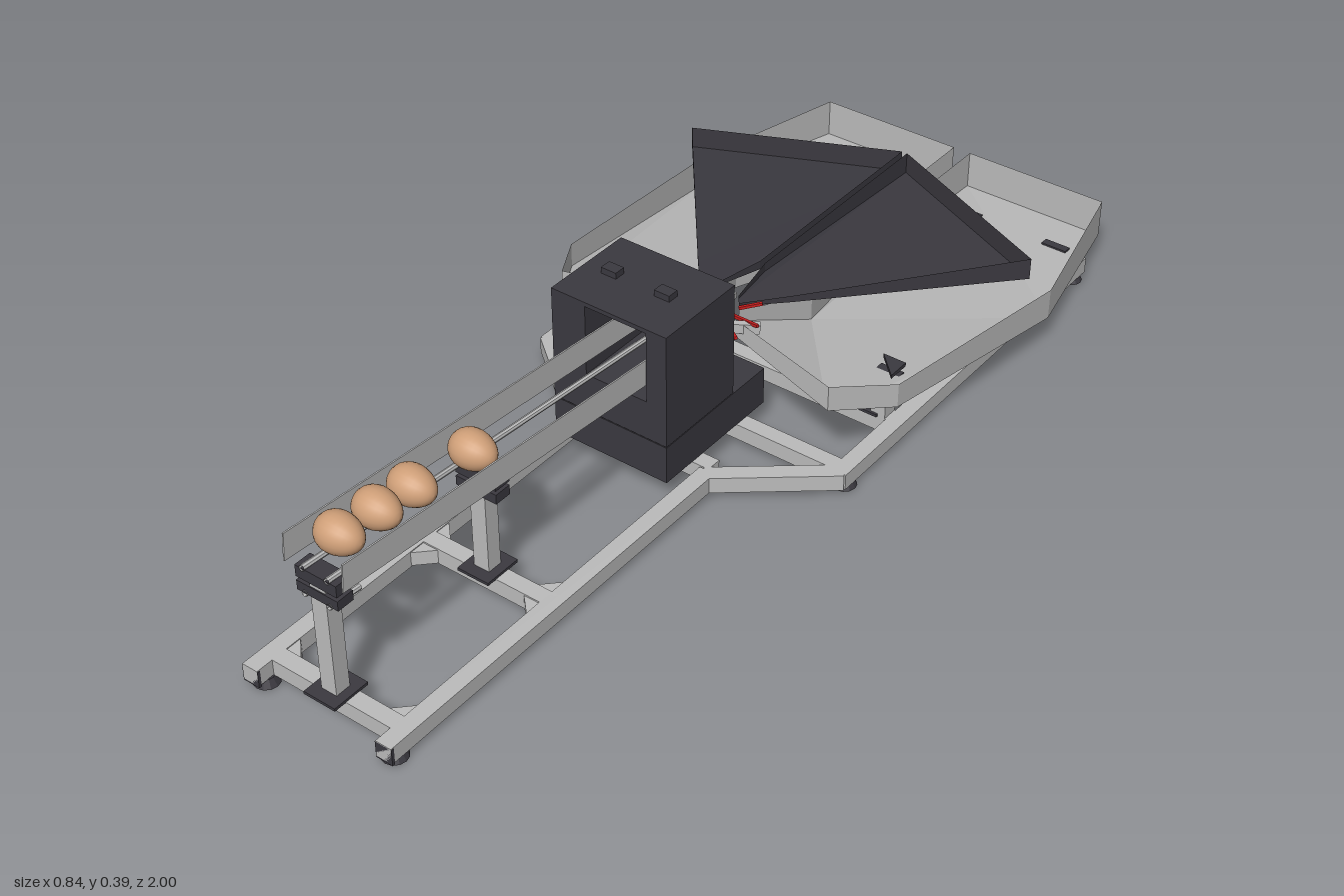
import * as THREE from 'three';

const mat = (name, color, both) => {
  const m = new THREE.MeshStandardMaterial({ color, flatShading: name !== 'eggshell' });
  m.name = name;
  if (both) m.side = THREE.DoubleSide;
  return m;
};

export function createModel() {
  const root = new THREE.Group();
  const grey = mat('light grey', 0xbcbcbc, true);
  const dark = mat('charcoal', 0x3b3940, true);
  const shell = mat('eggshell', 0xcf9f78);
  const red = mat('red', 0xc81e1e);

  const add = (name, geo, m, x = 0, y = 0, z = 0) => {
    const mesh = new THREE.Mesh(geo, m);
    mesh.name = name;
    mesh.position.set(x, y, z);
    root.add(mesh);
    return mesh;
  };
  // box given by its limits on each axis
  const block = (name, m, x0, x1, y0, y1, z0, z1) => add(name,
    new THREE.BoxGeometry(x1 - x0, y1 - y0, z1 - z0), m, (x0 + x1) / 2, (y0 + y1) / 2, (z0 + z1) / 2);
  // square beam between two points
  const beam = (name, m, a, b, w, h) => {
    const p = new THREE.Vector3(...a), q = new THREE.Vector3(...b);
    const mesh = add(name, new THREE.BoxGeometry(w, h, p.distanceTo(q)), m);
    mesh.position.copy(p).lerp(q, 0.5);
    mesh.lookAt(q);
    return mesh;
  };
  // open tray: points are [x, z, floor height, wall top]
  const tray = (name, m, pts, side, openEdges = []) => {
    const tris = THREE.ShapeUtils.triangulateShape(pts.map(p => new THREE.Vector2(p[0], p[1])), []);
    const pos = [];
    const push = (p, k) => pos.push(p[0] * side, p[k], p[1]);
    tris.forEach(t => t.forEach(i => push(pts[i], 2)));
    pts.forEach((p, i) => {
      if (openEdges.includes(i)) return;
      const q = pts[(i + 1) % pts.length];
      [[p, 2], [q, 2], [q, 3], [p, 2], [q, 3], [p, 3]].forEach(c => push(...c));
    });
    const geo = new THREE.BufferGeometry();
    geo.setAttribute('position', new THREE.Float32BufferAttribute(pos, 3));
    geo.computeVertexNormals();
    return add(name, geo, m);
  };

  // floor frame, mirrored
  const fy = 0.032, fw = 0.034;
  for (const s of [-1, 1]) {
    beam('frontFrameRail', grey, [s * 0.15, fy, 1], [s * 0.15, fy, 0.12], fw, fw);
    beam('frameDiagonal', grey, [s * 0.15, fy, 0.13], [s * 0.35, fy, -0.03], fw, fw);
    beam('rearFrameRail', grey, [s * 0.345, fy, -0.02], [s * 0.345, fy, -0.91], fw, fw);
    block('railEndCap', dark, s * 0.15 - 0.018, s * 0.15 + 0.018, 0.012, 0.047, 0.994, 1);
    for (const [x, z] of [[0.145, 0.97], [0.34, -0.05], [0.34, -0.89]]) {
      add('foot', new THREE.CylinderGeometry(0.016, 0.025, 0.016, 12), dark, s * x, 0.008, z);
    }
    // triangular braces where the cross bars meet the rails
    for (const [z, d] of [[0.93, -1], [0.585, 1], [0.55, -1]]) {
      const shape = new THREE.Shape([[0, 0], [0.035, 0], [0, 0.035]].map(p => new THREE.Vector2(s * (0.134 - p[0]), -(z + d * p[1]))));
      const g = new THREE.ExtrudeGeometry(shape, { depth: 0.03, bevelEnabled: false });
      add('cornerBrace', g, grey, 0, 0.017, 0).rotation.x = -Math.PI / 2;
    }
    // tray support posts
    block('traySupportPost', grey, s * 0.31 - 0.016, s * 0.31 + 0.016, 0.048, 0.13, -0.24, -0.205);
    block('traySupportCap', dark, s * 0.31 - 0.025, s * 0.31 + 0.025, 0.13, 0.136, -0.25, -0.2);
    block('postBase', dark, s * 0.29 - 0.02, s * 0.29 + 0.02, 0.048, 0.054, -0.25, -0.2);
    block('rearBracket', dark, s * 0.207 - 0.026, s * 0.207 + 0.026, 0.045, 0.07, -0.63, -0.6);
  }
  for (const [z, w] of [[0.947, 0.15], [0.567, 0.15], [0.1, 0.15], [-0.04, 0.36], [-0.222, 0.345], [-0.62, 0.345], [-0.89, 0.36]])
    block('crossBar', grey, -w, w, 0.015, 0.049, z - 0.017, z + 0.017);

  // egg ramp: sloping side walls, rods and posts
  const slope = 0.077;
  const rampY = (y, z) => y - slope * (0.97 - z);
  for (const s of [-1, 1]) {
    beam('rampWall', grey, [s * 0.064, rampY(0.337, 0.97), 0.97], [s * 0.064, rampY(0.337, 0), 0], 0.003, 0.055);
    for (const y of [0.312, 0.258]) {
      const end = y > 0.3 ? -0.04 : 0.9, x = 0.027;
      const a = new THREE.Vector3(s * x, rampY(y, 0.97), 0.97), b = new THREE.Vector3(s * x, rampY(y, end), end);
      add('rampRod', new THREE.TubeGeometry(new THREE.LineCurve3(a, b), 1, 0.006, 8), grey);
    }
  }
  for (const [z, top] of [[0.95, 0.285], [0.565, 0.25]]) {
    block('rampPost', grey, -0.017, 0.017, 0.048, top, z - 0.016, z + 0.016);
    block('postBase', dark, -0.035, 0.035, 0.048, 0.054, z - 0.04, z + 0.04);
    block('rampClampTop', dark, -0.045, 0.045, top, top + 0.024, z - 0.018, z + 0.018);
    block('rampClampBottom', dark, -0.045, 0.045, top - 0.028, top - 0.008, z - 0.018, z + 0.018);
  }

  // eggs lie across the ramp, one end blunter
  const egg = new THREE.LatheGeometry(Array.from({ length: 17 }, (_, i) => {
    const t = Math.PI * i / 16;
    return new THREE.Vector2(Math.max(0, 0.037 * Math.sin(t) * (1 + 0.12 * Math.cos(t))), -0.047 * Math.cos(t));
  }), 24);
  egg.rotateZ(-Math.PI / 2);
  for (const [z, y] of [[0.9, 0.348], [0.812, 0.341], [0.728, 0.334], [0.577, 0.313]])
    add('egg', egg, shell, -0.005, y, z);

  // machine housing with a tunnel through it
  block('housingRightColumn', dark, -0.147, -0.07, 0.132, 0.368, -0.01, 0.195);
  block('housingLeftColumn', dark, 0.068, 0.113, 0.132, 0.368, -0.01, 0.195);
  block('housingRoof', dark, -0.147, 0.113, 0.366, 0.375, -0.01, 0.195);
  block('housingSill', dark, -0.07, 0.068, 0.132, 0.215, -0.01, 0.195);
  block('housingBase', dark, -0.147, 0.113, 0.049, 0.13, -0.11, 0.195);
  for (const x of [-0.087, 0.034]) block('roofKnob', dark, x - 0.017, x + 0.017, 0.375, 0.388, 0.08, 0.104);

  // sorting head: plates, fingers and red pointers behind the housing
  block('headPlate', grey, -0.06, 0.06, 0.215, 0.25, -0.035, -0.012);
  block('headSensor', dark, -0.028, 0.028, 0.22, 0.25, -0.085, -0.036);
  for (const s of [-1, 1]) {
    beam('headFinger', grey, [s * 0.03, 0.24, -0.02], [s * 0.012, 0.235, -0.15], 0.012, 0.012);
    beam('headArm', grey, [s * 0.045, 0.245, -0.03], [s * 0.115, 0.235, -0.09], 0.014, 0.02);
    for (const [x, z] of [[0.11, -0.02], [0.12, -0.075], [0.085, -0.14]])
      beam('redPointer', red, [s * 0.05, 0.24, -0.085 + (z + 0.07) * 0.4], [s * x, 0.25, z], 0.006, 0.006);
  }

  for (const s of [-1, 1]) {
    // lower collecting tray
    tray('collectingTray', grey, [
      [0.06, -0.07, 0.215, 0.252], [0.31, -0.03, 0.168, 0.222], [0.385, -0.15, 0.138, 0.19],
      [0.42, -0.65, 0.07, 0.137], [0.34, -1, 0.05, 0.132], [0.02, -1, 0.05, 0.132],
      [0.02, -0.65, 0.07, 0.135], [0.09, -0.3, 0.125, 0.18], [0.045, -0.12, 0.205, 0.23]], s, [8]);
    // upper deflector tray
    tray('upperTray', dark, [
      [0.006, -0.763, 0.197, 0.243], [0.407, -0.58, 0.197, 0.243], [0.11, -0.2, 0.23, 0.244],
      [0.045, -0.12, 0.238, 0.245], [0.03, -0.14, 0.238, 0.245], [0.006, -0.26, 0.225, 0.244]], s, [3]);
    // mounting plates on the tray floor
    for (const x of [0.085, 0.295]) block('trayPlate', dark, s * x - 0.028, s * x + 0.028, 0.052, 0.06, -0.908, -0.89);
    const tri = new THREE.Shape([[0.285, 0.255], [0.335, 0.255], [0.335, 0.205]].map(p => new THREE.Vector2(s * p[0], p[1])));
    add('traySidePlate', new THREE.ExtrudeGeometry(tri, { depth: 0.008, bevelEnabled: false }), dark, 0, 0.147, 0).rotation.x = -Math.PI / 2;
  }

  // centre support and tray link
  block('centrePost', grey, -0.018, 0.018, 0.048, 0.14, -0.64, -0.602);
  block('centrePostCap', dark, -0.045, 0.045, 0.186, 0.197, -0.64, -0.602);
  block('centreBolt', dark, -0.01, 0.01, 0.14, 0.187, -0.63, -0.612);
  block('trayLink', grey, -0.025, 0.025, 0.05, 0.056, -0.91, -0.87);
  return root;
}
